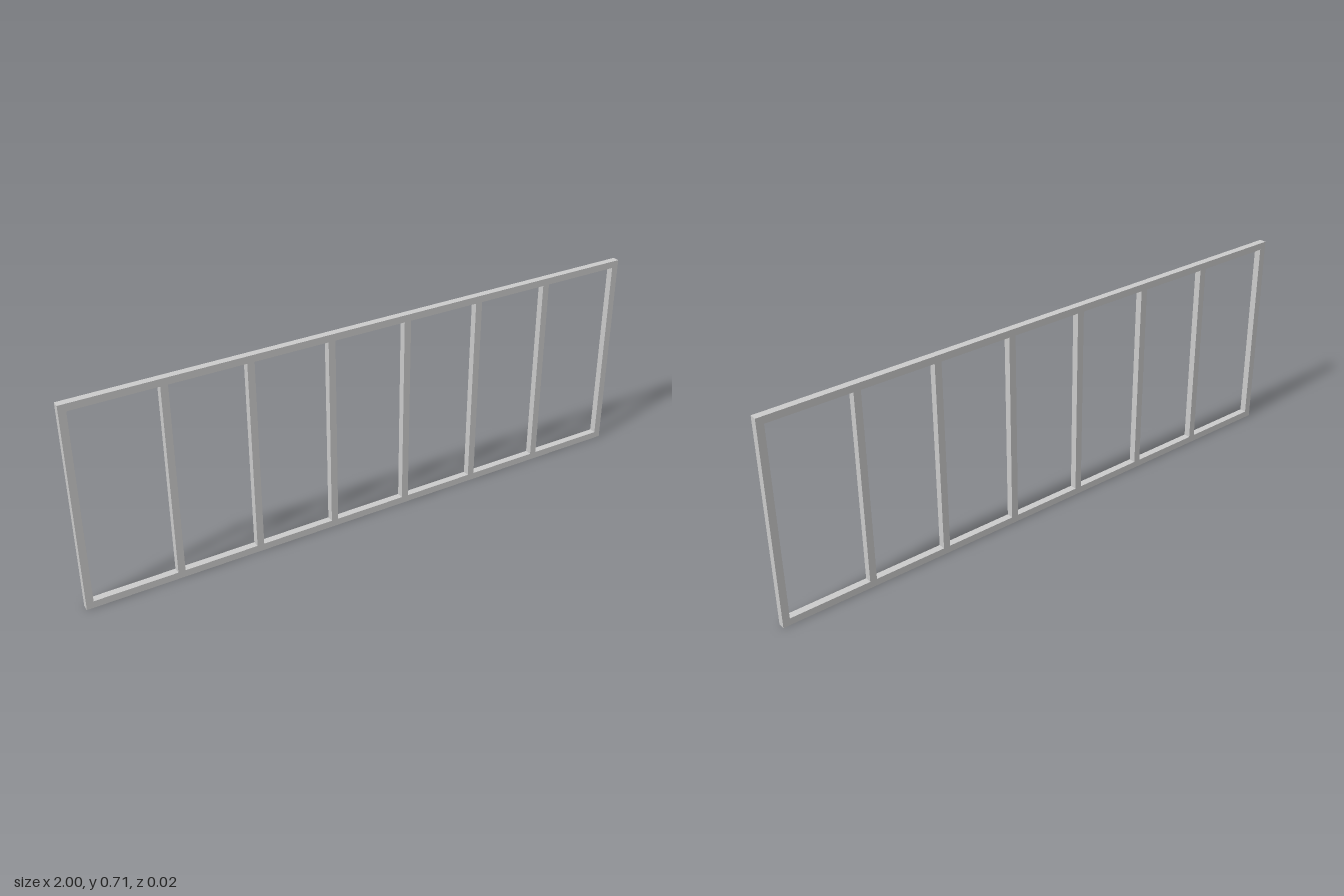
import * as THREE from 'three';

const WIDTH = 2, HEIGHT = 0.709, BAR = 0.024;

export function createModel() {
  const group = new THREE.Group();
  group.name = 'barredFrame';
  const material = new THREE.MeshStandardMaterial({ color: 0xcccccc, flatShading: true });

  function bar(name, w, h, x, y) {
    const mesh = new THREE.Mesh(new THREE.BoxGeometry(w, h, BAR), material);
    mesh.name = name;
    mesh.position.set(x, y, 0);
    group.add(mesh);
  }

  // Horizontal rails
  bar('bottomRail', WIDTH, BAR, 0, BAR / 2);
  bar('topRail', WIDTH, BAR, 0, HEIGHT - BAR / 2);

  // End posts and evenly spaced inner posts, fitted between the rails
  const postHeight = HEIGHT - 2 * BAR;
  for (const side of [-1, 1]) {
    bar(side > 0 ? 'leftEndPost' : 'rightEndPost', BAR, postHeight, side * (WIDTH - BAR) / 2, HEIGHT / 2);
  }
  for (let i = 0; i < 6; i++) {
    bar('innerPost' + (i + 1), BAR, postHeight, (i - 2.5) * 0.275, HEIGHT / 2);
  }
  return group;
}
